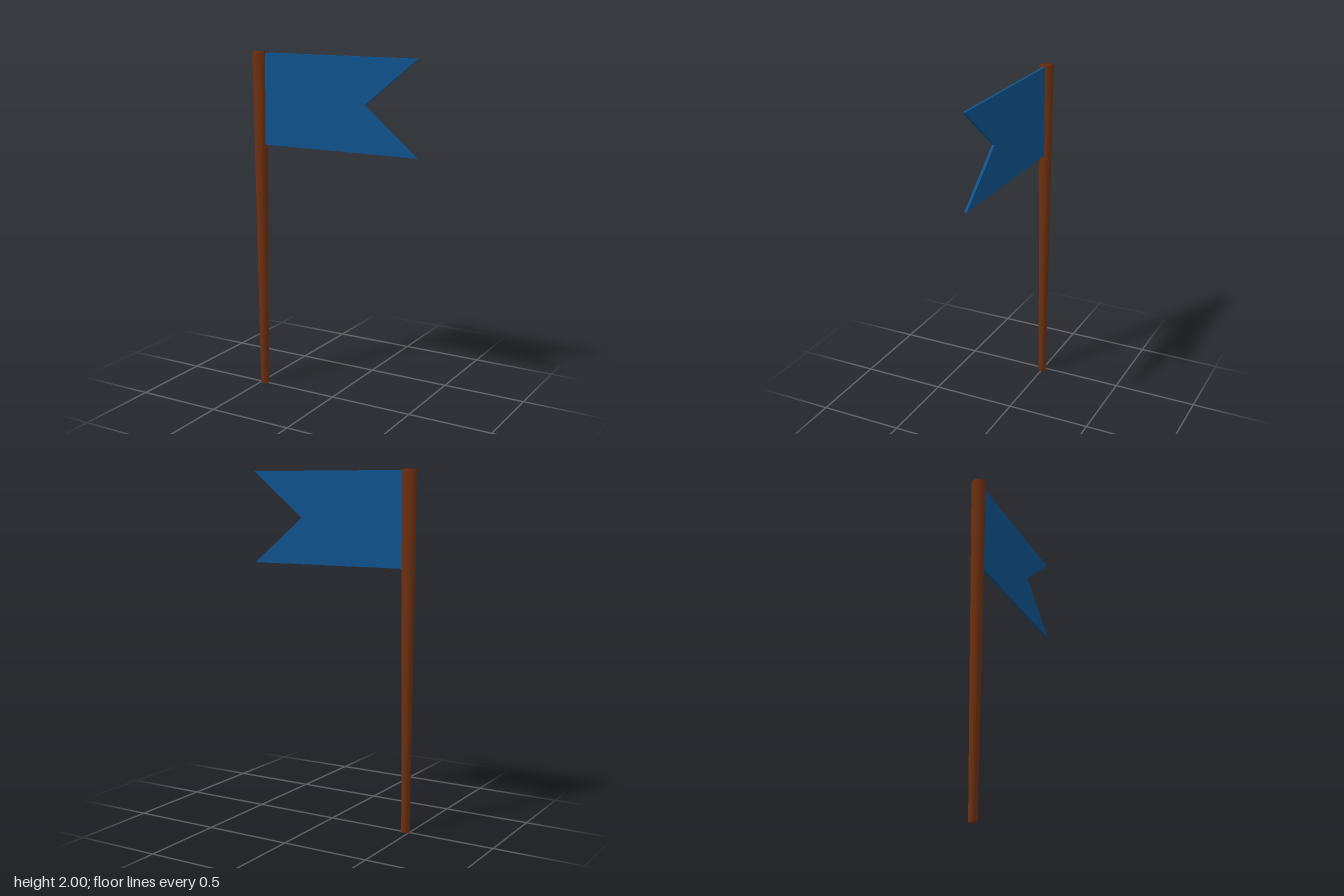
import * as THREE from 'three';
import { mergeVertices } from 'three/addons/utils/BufferGeometryUtils.js';

export function createModel() {
  const model = new THREE.Group();
  model.name = 'flag';

  const wood = new THREE.MeshStandardMaterial({ color: 0x6e3010 });
  wood.name = 'brown wood';
  const cloth = new THREE.MeshStandardMaterial({ color: 0x0f528c });
  cloth.name = 'blue cloth';

  // Tapered eight-sided pole, wider at the top, with normals shared across the caps
  let poleGeometry = new THREE.CylinderGeometry(0.043, 0.025, 2, 8);
  poleGeometry.deleteAttribute('normal');
  poleGeometry.deleteAttribute('uv');
  poleGeometry = mergeVertices(poleGeometry);
  poleGeometry.computeVertexNormals();
  const pole = new THREE.Mesh(poleGeometry, wood);
  pole.name = 'pole';
  pole.position.set(-0.477, 1, 0);
  model.add(pole);

  // Swallow-tailed banner, its inner edge set into the pole
  const outline = new THREE.Shape([
    [-0.477, 1.47], [0.52, 1.47], [0.2, 1.732], [0.52, 1.995], [-0.477, 1.995],
  ].map(([x, y]) => new THREE.Vector2(x, y)));
  const depth = 0.015;
  const bannerGeometry = new THREE.ExtrudeGeometry(outline, { depth, bevelEnabled: false });
  bannerGeometry.translate(0, 0, -depth / 2);
  const banner = new THREE.Mesh(bannerGeometry, cloth);
  banner.name = 'banner';
  model.add(banner);

  return model;
}
